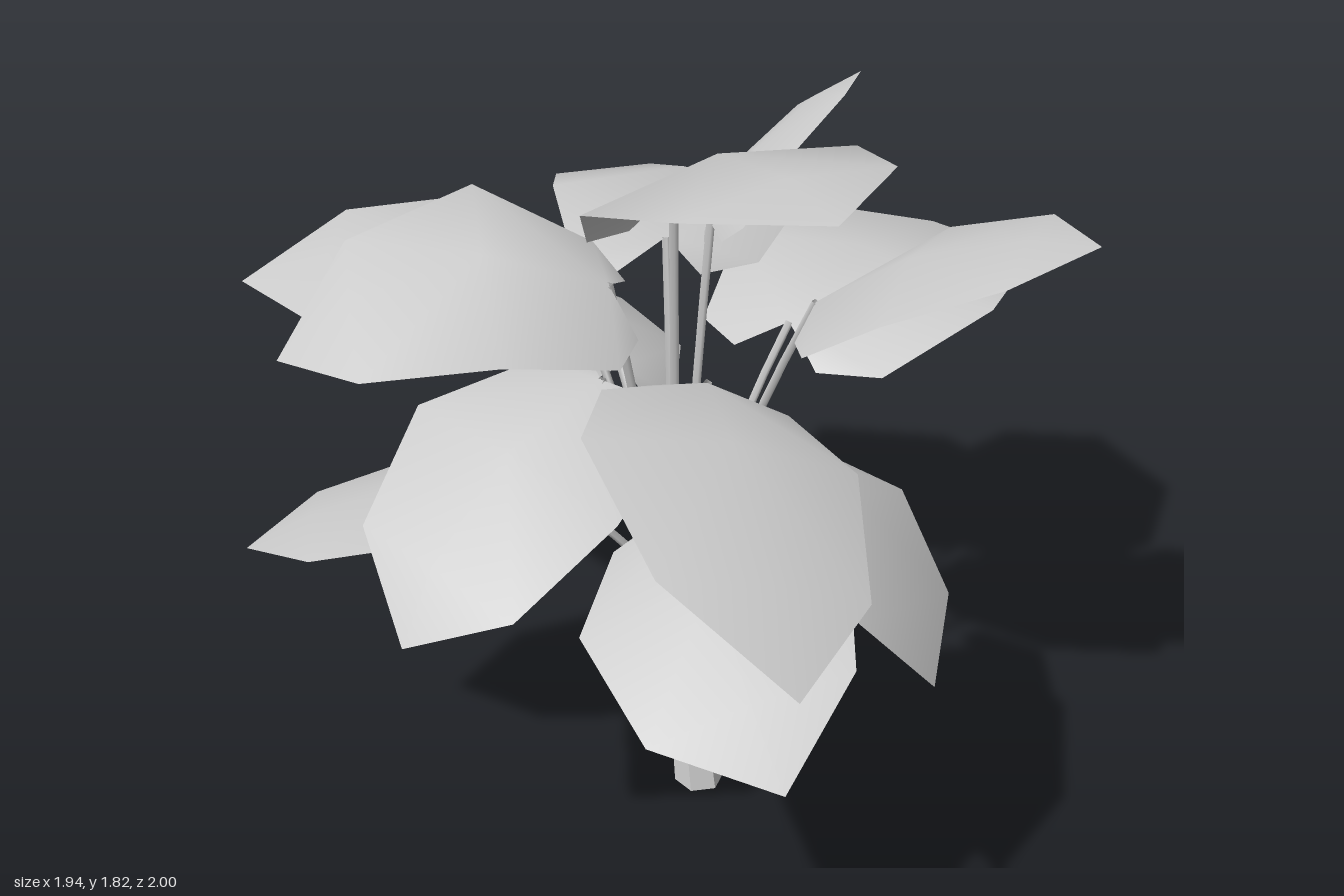
import * as THREE from 'three';

const paleGrey = new THREE.MeshStandardMaterial({ color: 0xcccccc, side: THREE.DoubleSide });
paleGrey.name = 'paleGrey';

const V = (p) => new THREE.Vector3(...p);
const trunkBase = V([0.067, 0, 0.035]);
const trunkTop = V([0.027, 0.57, -0.06]);

// Each leaf: stem joint, middle of the midrib, tip, half width, sideways tilt
const leaves = [
  [[0, 1.59, 0.05], [0.07, 1.8, 0.36], [0.19, 1.79, 0.69], 0.31, -0.04],
  [[0.12, 1.41, -0.15], [0.26, 1.6, -0.19], [0.47, 1.71, -0.23], 0.165, 0.48],
  [[0.29, 1.35, 0.15], [0.53, 1.52, 0.28], [0.79, 1.59, 0.47], 0.25, 0],
  [[0.33, 1.09, -0.25], [0.63, 1.18, -0.5], [0.93, 1.0, -0.82], 0.36, 0],
  [[0.22, 1.02, 0.18], [0.4, 0.89, 0.34], [0.5, 0.56, 0.5], 0.25, 0.32],
  [[0.04, 1.33, -0.26], [0.13, 1.37, -0.6], [0.02, 1.12, -0.97], 0.31, -0.12],
  [[-0.05, 0.94, -0.38], [-0.08, 0.97, -0.7], [-0.19, 0.92, -1], 0.26, -0.45],
  [[-0.16, 1.17, -0.36], [-0.5, 1.28, -0.43], [-0.92, 1.16, -0.55], 0.3, 0.15],
  [[-0.14, 1.38, 0.05], [-0.5, 1.47, 0.05], [-0.85, 1.26, 0.04], 0.3, 0.25],
  [[-0.17, 1.19, 0.12], [-0.46, 1.09, 0.34], [-0.65, 0.82, 0.51], 0.29, 0.12],
  [[0.02, 0.96, 0.28], [0, 0.89, 0.6], [0.07, 0.65, 0.91], 0.3, -0.25],
  [[0.02, 1.28, 0.33], [0.03, 1.24, 0.65], [0.07, 0.95, 1], 0.3, 0.3],
  [[-0.36, 0.9, 0], [-0.65, 0.87, -0.04], [-0.96, 0.74, -0.05], 0.27, -0.18],
];

// Heart-shaped outline of half a leaf: position along midrib, share of half width, droop
const outline = [[-0.06, 0.32, 0.14], [0.02, 0.7, 0.22], [0.37, 1, 0.17], [0.77, 0.76, 0.1]];
const ribs = [0, 0.37, 0.77, 1];

function leafGeometry(joint, middle, tip, halfWidth, tilt) {
  const control = middle.clone().multiplyScalar(2)
    .addScaledVector(joint, -0.5).addScaledVector(tip, -0.5);
  const rib = new THREE.QuadraticBezierCurve3(joint, control, tip);
  const along = tip.clone().sub(joint).normalize();
  const side = new THREE.Vector3(-along.z, 0, along.x).normalize();
  side.y = tilt;
  side.normalize();
  const normal = side.clone().cross(along).normalize();

  const points = ribs.map((u) => rib.getPoint(u));
  for (const s of [1, -1]) {
    for (const [u, w, droop] of outline) {
      points.push(rib.getPoint(u)
        .addScaledVector(side, s * w * halfWidth)
        .addScaledVector(normal, -droop * halfWidth));
    }
  }
  const index = [];
  const tri = (a, b, c, flip) => index.push(a, ...(flip ? [c, b] : [b, c]));
  for (const start of [4, 8]) {
    const flip = start === 8;
    const [e0, e1, e2, e3] = [0, 1, 2, 3].map((i) => start + i);
    tri(0, e0, e1, flip); // lobe beside the stem
    tri(0, e1, e2, flip);
    tri(0, e2, 1, flip);
    tri(1, e2, e3, flip);
    tri(1, e3, 2, flip);
    tri(2, e3, 3, flip); // pointed end
  }
  const geometry = new THREE.BufferGeometry().setFromPoints(points);
  geometry.setIndex(index);
  geometry.computeVertexNormals();
  return geometry;
}

// Leaning six-sided trunk, its top ring shifted sideways
function trunkGeometry() {
  const height = trunkTop.y;
  const geometry = new THREE.CylinderGeometry(0.037, 0.06, height, 6, 1, false, Math.PI / 6)
    .toNonIndexed();
  geometry.translate(0, height / 2, 0);
  const pos = geometry.attributes.position;
  for (let i = 0; i < pos.count; i++) {
    const t = pos.getY(i) / height;
    pos.setX(i, pos.getX(i) + THREE.MathUtils.lerp(trunkBase.x, trunkTop.x, t));
    pos.setZ(i, pos.getZ(i) + THREE.MathUtils.lerp(trunkBase.z, trunkTop.z, t));
  }
  geometry.computeVertexNormals();
  return geometry;
}

export function createModel() {
  const plant = new THREE.Group();
  plant.name = 'leafyPlant';
  const add = (name, geometry) => {
    const mesh = new THREE.Mesh(geometry, paleGrey);
    mesh.name = name;
    plant.add(mesh);
  };

  add('trunk', trunkGeometry());

  leaves.forEach(([p, m, t, halfWidth, tilt], i) => {
    const joint = V(p);
    add(`leaf${i + 1}`, leafGeometry(joint, V(m), V(t), halfWidth, tilt));

    // Stem rising from the trunk and bending out to the leaf
    const outward = new THREE.Vector3(joint.x - trunkTop.x, 0, joint.z - trunkTop.z).normalize();
    const start = trunkTop.clone().addScaledVector(outward, 0.022);
    start.y -= 0.05;
    const bend = start.clone().lerp(joint, 0.5);
    bend.y += 0.07;
    const curve = new THREE.QuadraticBezierCurve3(start, bend, joint);
    add(`stem${i + 1}`, new THREE.TubeGeometry(curve, 5, 0.01, 4));
  });
  return plant;
}
